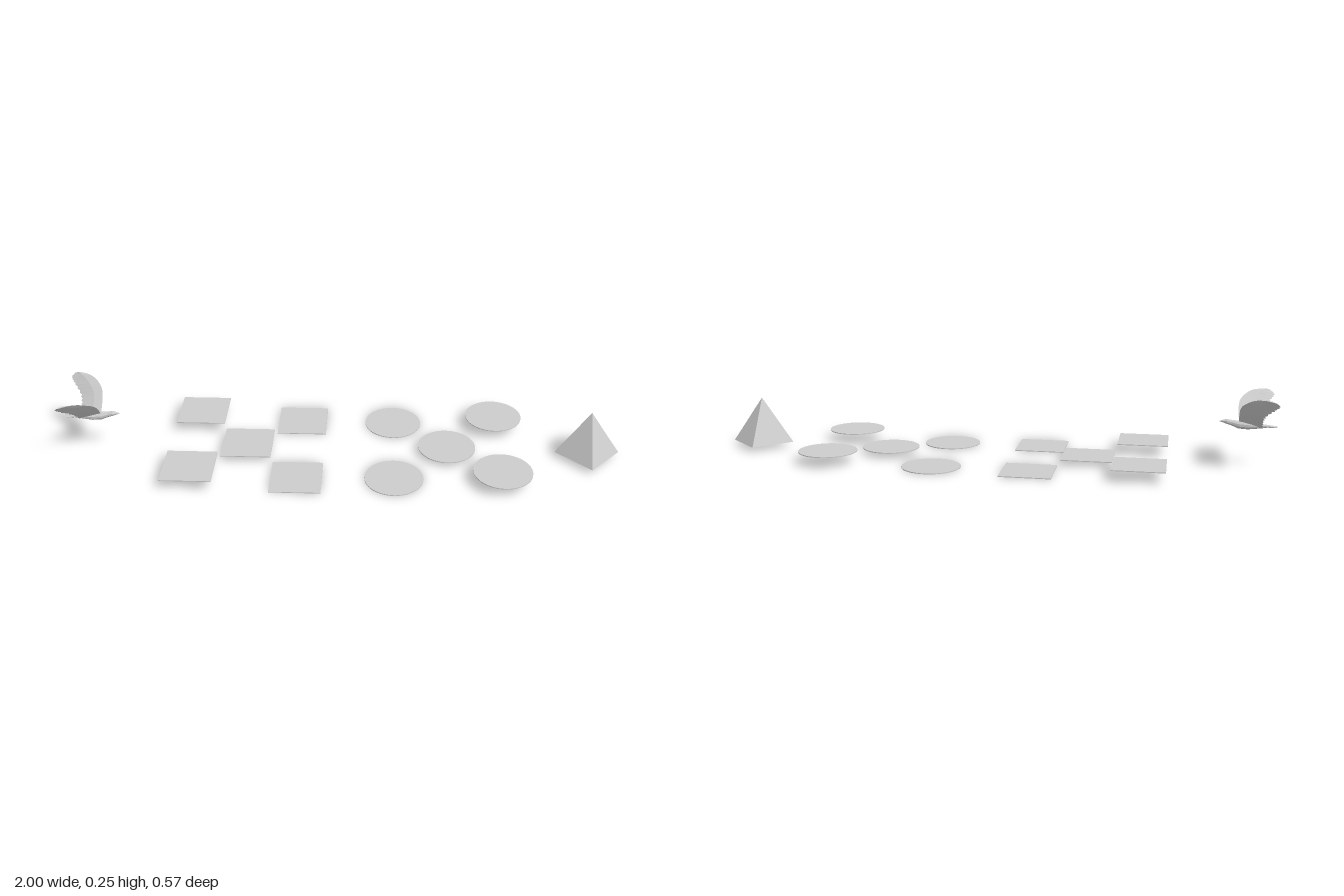
import * as THREE from 'three';

const material = new THREE.MeshStandardMaterial({ color: 0xcccccc, flatShading: true, side: THREE.DoubleSide });

function part(name, geometry, x = 0, y = 0, z = 0) {
  const mesh = new THREE.Mesh(geometry, material);
  mesh.name = name;
  mesh.position.set(x, y, z);
  return mesh;
}

// Closed skin over rings that run counterclockwise about the direction of travel
function loft(rings) {
  const pos = [];
  const tri = (...pts) => pts.forEach((p) => pos.push(p.x, p.y, p.z));
  const n = rings[0].length;
  const last = rings[rings.length - 1];
  for (let i = 0; i < rings.length - 1; i++) {
    for (let j = 0; j < n; j++) {
      const k = (j + 1) % n;
      tri(rings[i][j], rings[i][k], rings[i + 1][k]);
      tri(rings[i][j], rings[i + 1][k], rings[i + 1][j]);
    }
  }
  for (let j = 1; j < n - 1; j++) {
    tri(rings[0][0], rings[0][j + 1], rings[0][j]);
    tri(last[0], last[j], last[j + 1]);
  }
  const g = new THREE.BufferGeometry();
  g.setAttribute('position', new THREE.Float32BufferAttribute(pos, 3));
  g.computeVertexNormals();
  return g;
}

const curve = (pts) => new THREE.CatmullRomCurve3(pts.map((p) => new THREE.Vector3(...p)));

// Bird body from tail fan to beak: x, y, half height, half width
function bodyGeometry() {
  const stations = [
    [-1.0, 0.143, 0.002, 0.013], [-0.965, 0.145, 0.005, 0.009], [-0.935, 0.145, 0.01, 0.011],
    [-0.9, 0.145, 0.014, 0.015], [-0.868, 0.147, 0.014, 0.014], [-0.845, 0.153, 0.01, 0.01],
    [-0.828, 0.157, 0.009, 0.01], [-0.815, 0.158, 0.005, 0.006], [-0.803, 0.157, 0.001, 0.001],
  ];
  return loft(stations.map(([x, y, ry, rz]) => Array.from({ length: 10 }, (_, j) => {
    const a = (j / 10) * Math.PI * 2;
    return new THREE.Vector3(x, y + ry * Math.cos(a), rz * Math.sin(a));
  })));
}

// Raised, swept-back wing between a leading and a feathered trailing edge
function wingGeometry(side) {
  const leading = curve([
    [-0.87, 0.158, 0.004], [-0.868, 0.19, 0.032], [-0.872, 0.22, 0.06],
    [-0.89, 0.24, 0.085], [-0.92, 0.254, 0.105], [-0.955, 0.256, 0.12],
  ]);
  const trailing = curve([
    [-0.952, 0.138, 0.01], [-0.95, 0.165, 0.04], [-0.957, 0.192, 0.07],
    [-0.983, 0.22, 0.1], [-0.996, 0.237, 0.119], [-0.983, 0.25, 0.127],
  ]);
  const up = new THREE.Vector3(0, 0.7, -0.7);
  const rings = [];
  const steps = 28;
  for (let i = 0; i <= steps; i++) {
    const a = leading.getPoint(i / steps);
    const b = trailing.getPoint(i / steps);
    if (i % 2) b.lerp(a, 0.06); // notch between feathers
    const mid = a.clone().lerp(b, 0.4);
    const ring = [a, mid.clone().addScaledVector(up, 0.004), b, mid.clone().addScaledVector(up, -0.001)];
    ring.forEach((p) => { p.z *= side; });
    rings.push(side > 0 ? ring : ring.reverse());
  }
  return loft(rings);
}

export function createModel() {
  const model = new THREE.Group();
  model.name = 'model';

  // Thin plates, five of each in a quincunx, rising away from the middle
  const square = new THREE.BoxGeometry(0.181, 0.003, 0.181);
  const disc = new THREE.CylinderGeometry(0.104, 0.104, 0.003, 48);
  const LOW = 0.003, MID = 0.021, HIGH = 0.042;
  const squares = [[-0.538, HIGH, -0.184], [-0.538, HIGH, 0.187], [-0.35, MID, 0.001],
    [-0.16, LOW, -0.184], [-0.16, LOW, 0.187]];
  const discs = [[0.182, LOW, -0.183], [0.184, LOW, 0.178], [0.377, MID, 0],
    [0.559, HIGH, -0.181], [0.564, HIGH, 0.18]];
  squares.forEach((p) => model.add(part('squarePlate', square, ...p)));
  discs.forEach((p) => model.add(part('roundPlate', disc, ...p)));

  // Four-sided pyramid standing on its corner axes
  const pyramid = part('pyramid', new THREE.ConeGeometry(0.116, 0.167, 4), 0.882, 0.102, 0.013);
  pyramid.rotation.y = 0.03;
  model.add(pyramid);

  // Flying bird
  const bird = new THREE.Group();
  bird.name = 'bird';
  bird.position.z = 0.033;
  bird.add(part('birdBody', bodyGeometry()));
  bird.add(part('leftWing', wingGeometry(-1)), part('rightWing', wingGeometry(1)));
  model.add(bird);

  return model;
}
